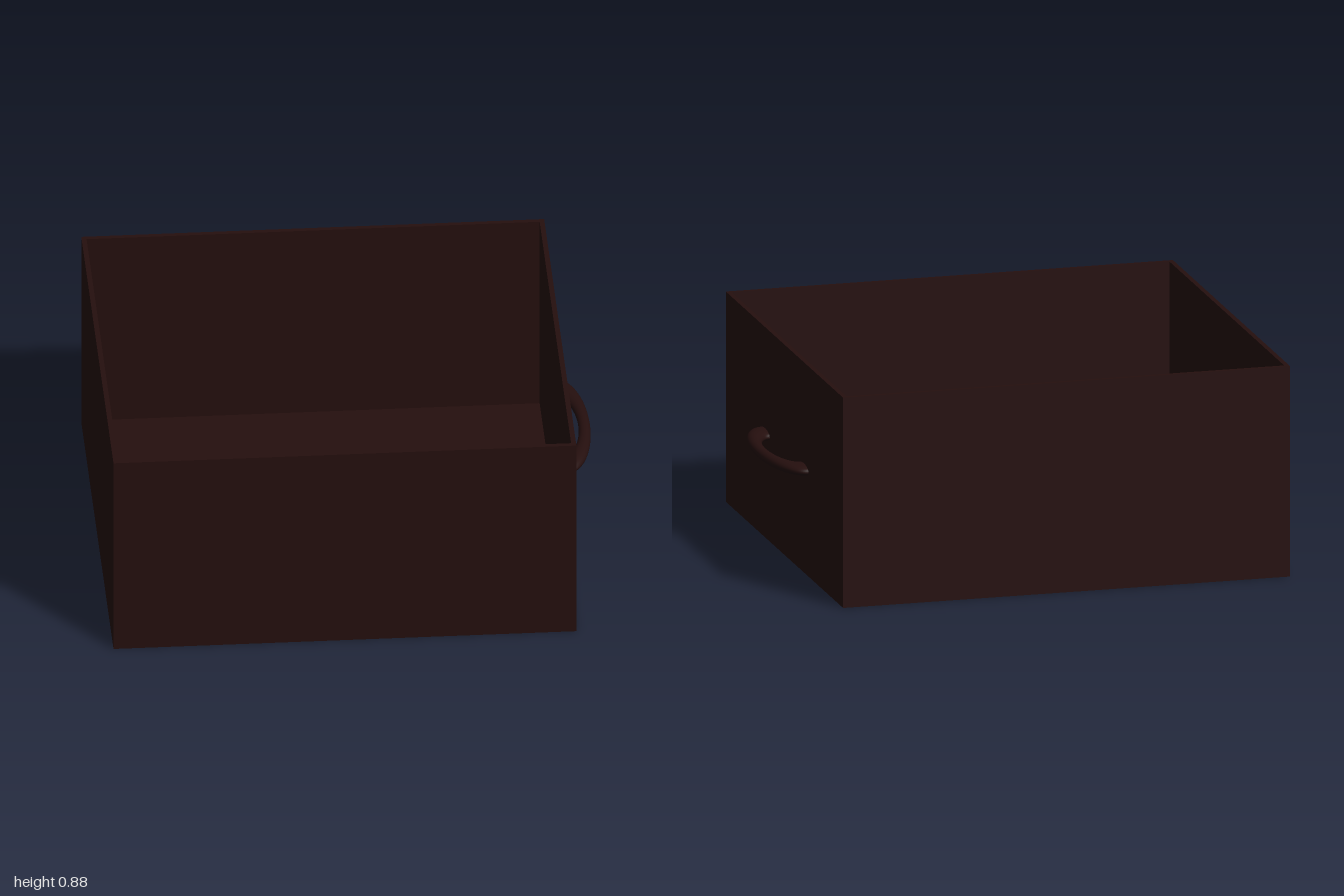
import * as THREE from 'three';

export function createModel() {
  const model = new THREE.Group();
  const darkWood = new THREE.MeshStandardMaterial({ color: 0x250f0e });
  darkWood.name = 'darkWood';

  const X0 = -1, X1 = 0.88, H = 0.88, D = 1.77, T = 0.02;
  const midX = (X0 + X1) / 2, width = X1 - X0;

  const add = (name, geometry, x, y, z) => {
    const mesh = new THREE.Mesh(geometry, darkWood);
    mesh.name = name;
    mesh.position.set(x, y, z);
    model.add(mesh);
  };

  // Open box: floor and four thin walls
  add('floor', new THREE.BoxGeometry(width, T, D), midX, T / 2, 0);
  const wallY = (H + T) / 2, wallH = H - T;
  for (const [name, side] of [['frontWall', 1], ['backWall', -1]]) {
    add(name, new THREE.BoxGeometry(width, wallH, T), midX, wallY, side * (D - T) / 2);
  }
  for (const [name, x] of [['handleWall', X1 - T / 2], ['rearWall', X0 + T / 2]]) {
    add(name, new THREE.BoxGeometry(T, wallH, D - 2 * T), x, wallY, 0);
  }

  // Flattened half-ring pull, bowing out towards +x
  const handle = new THREE.TorusGeometry(0.2925, 0.0725, 20, 48, Math.PI);
  handle.rotateZ(-Math.PI / 2);
  handle.rotateX(Math.PI / 2);
  handle.scale(0.33, 0.31, 1);
  add('handle', handle, X1, 0.435, 0);

  return model;
}
